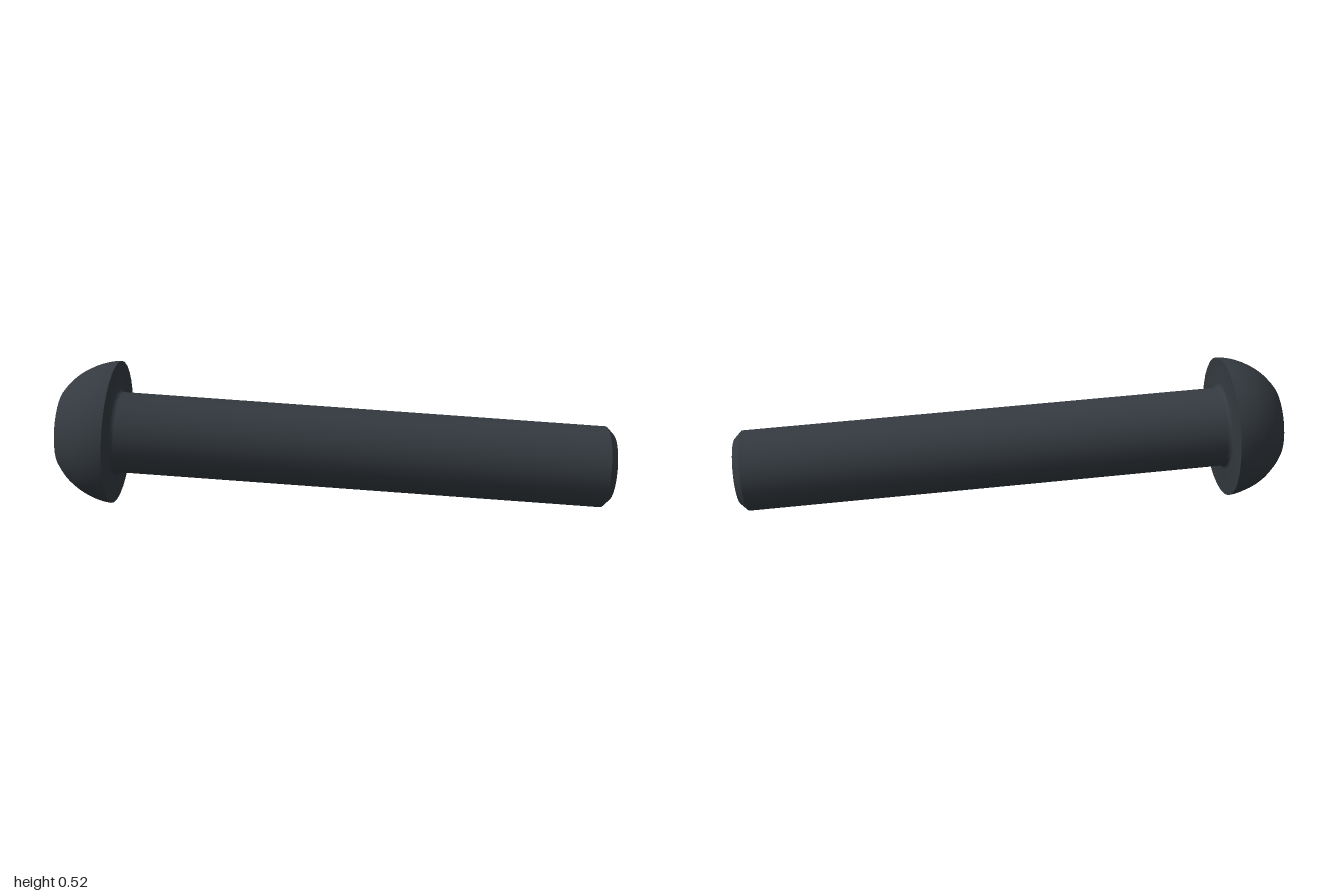
import * as THREE from 'three';
import { toCreasedNormals } from 'three/addons/utils/BufferGeometryUtils.js';

const SIDES = 32;
const HEAD_R = 0.261, HEAD_H = 0.195, TOP_R = 0.143;   // button head
const SHAFT_R = 0.147, LENGTH = 1.793, CHAMFER = 0.027; // shank
const HEX_R = 0.117, HEX_DEPTH = 0.115;                 // drive socket
const FILLET = 0.016;

const lathe = (pts, sides, crease) => toCreasedNormals(
  new THREE.LatheGeometry(pts.map(([r, y]) => new THREE.Vector2(r, y)), sides), crease);

// Points of a regular polygon with a corner on +y
const polygon = (r, n) => Array.from({ length: n }, (_, i) => {
  const a = (i / n) * Math.PI * 2;
  return new THREE.Vector2(r * Math.sin(a), r * Math.cos(a));
});

export function createModel() {
  const bolt = new THREE.Group();
  bolt.name = 'bolt';
  const steel = new THREE.MeshStandardMaterial({ color: 0x343a40 });
  steel.name = 'dark steel';
  const add = (name, geometry) => {
    const mesh = new THREE.Mesh(geometry, steel);
    mesh.name = name;
    bolt.add(mesh);
  };

  // Domed head: spherical arc from the flat top to the rim
  const dome = [];
  const a0 = Math.acos(TOP_R / HEAD_R);
  const a1 = 0.09;
  const yAt = a => -HEAD_H * (Math.sin(a) - Math.sin(a1)) / (Math.sin(a0) - Math.sin(a1));
  for (let i = 0; i <= 10; i++) {
    const a = a0 + (a1 - a0) * (i / 10);
    dome.push([HEAD_R * Math.cos(a), yAt(a)]);
  }
  add('headDome', lathe(dome, SIDES, 0.5));

  // Underside of the head, fillet, shank and chamfered tip
  const shank = [[HEAD_R * Math.cos(a1), 0]];
  for (let i = 0; i <= 4; i++) {
    const a = (i / 4) * Math.PI / 2;
    shank.push([SHAFT_R + FILLET * (1 - Math.sin(a)), FILLET * (1 - Math.cos(a))]);
  }
  shank.push([SHAFT_R, LENGTH - CHAMFER], [SHAFT_R - CHAMFER, LENGTH], [0, LENGTH]);
  add('shank', lathe(shank, SIDES, 0.5));

  // Flat top of the head with a hexagonal opening
  const ring = new THREE.Shape(polygon(TOP_R, SIDES));
  ring.holes.push(new THREE.Path(polygon(HEX_R, 6)));
  add('headTop', new THREE.ShapeGeometry(ring).rotateX(Math.PI / 2).translate(0, -HEAD_H, 0));

  // Hexagonal socket: floor and walls facing inward
  const floorY = HEX_DEPTH - HEAD_H;
  add('hexSocket', lathe([[0, floorY], [HEX_R, floorY], [HEX_R, -HEAD_H]], 6, 0.3));

  // Tilt: the shank axis runs along d, with a socket corner pointing up
  const d = new THREE.Vector3(1.75, -0.114, 0.375).normalize();
  const side = new THREE.Vector3().crossVectors(d, new THREE.Vector3(0, 1, 0)).normalize();
  const up = new THREE.Vector3().crossVectors(side, d);
  bolt.quaternion.setFromRotationMatrix(new THREE.Matrix4().makeBasis(side, d, up));
  bolt.position.set(-0.78, 0.262, -0.127);

  const model = new THREE.Group();
  model.name = 'buttonHeadBolt';
  model.add(bolt);
  return model;
}
